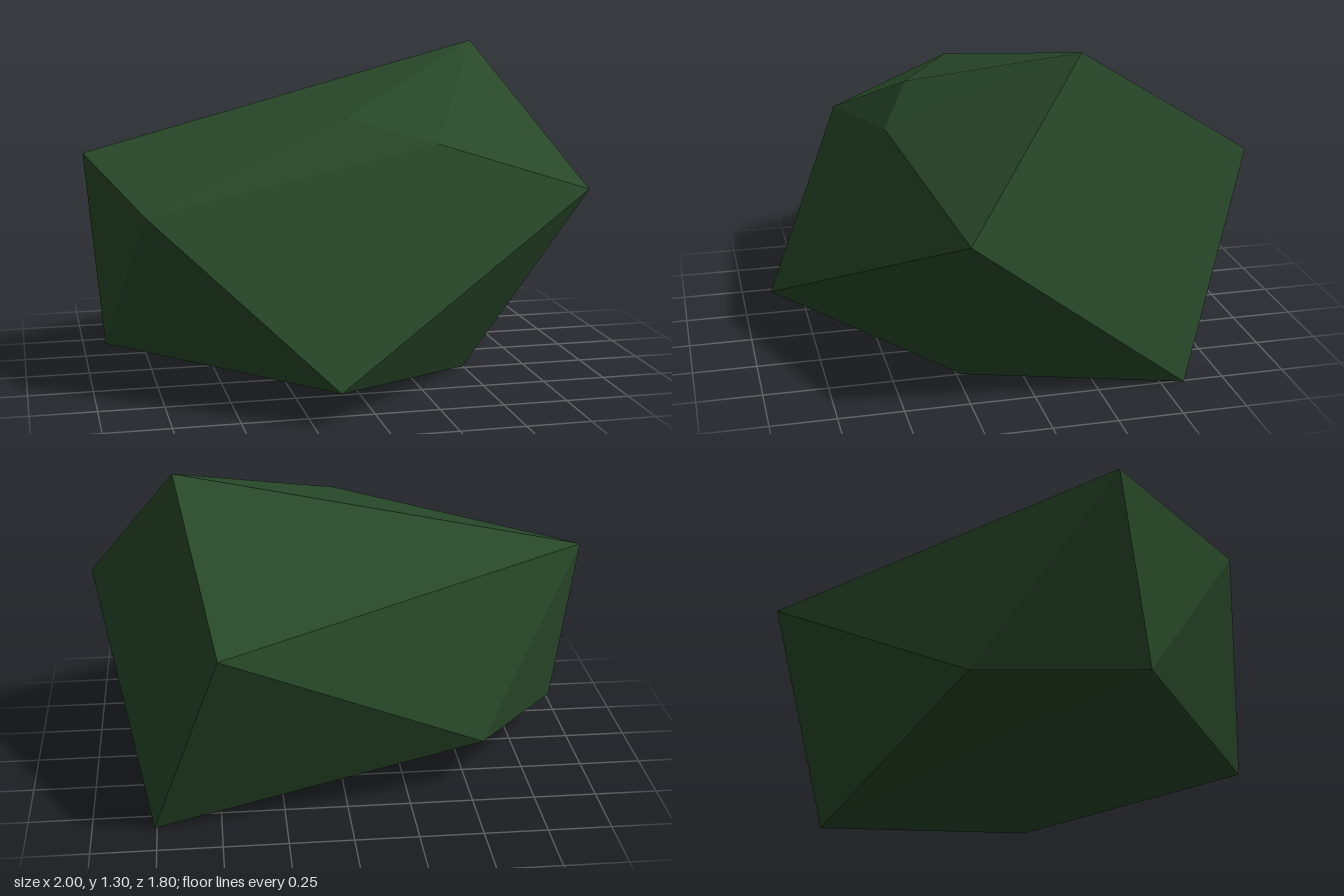
import * as THREE from 'three';
import { ConvexGeometry } from 'three/addons/geometries/ConvexGeometry.js';

export function createModel() {
  const model = new THREE.Group();
  model.name = 'rock';

  const darkGreen = new THREE.MeshStandardMaterial({ color: 0x284829 });
  darkGreen.name = 'darkGreen';
  darkGreen.flatShading = true;

  // Corners of the faceted boulder
  const corners = [
    // crown
    [0.64, 1.30, -0.19], [-0.02, 1.05, 0.34], [0.31, 0.96, 0.48],
    // shoulders
    [-1.0, 0.895, -0.02], [0.5, 0.84, -0.9], [1.0, 0.73, 0.30], [-0.81, 0.73, 0.53],
    // base
    [-0.16, 0.135, 0.9], [-0.94, 0.15, 0.11], [-0.55, 0.22, -0.42],
    [0.5, 0, 0.23], [0.76, 0, -0.59],
  ].map((p) => new THREE.Vector3(...p));

  const boulder = new THREE.Mesh(new ConvexGeometry(corners), darkGreen);
  boulder.name = 'boulder';
  model.add(boulder);
  return model;
}
